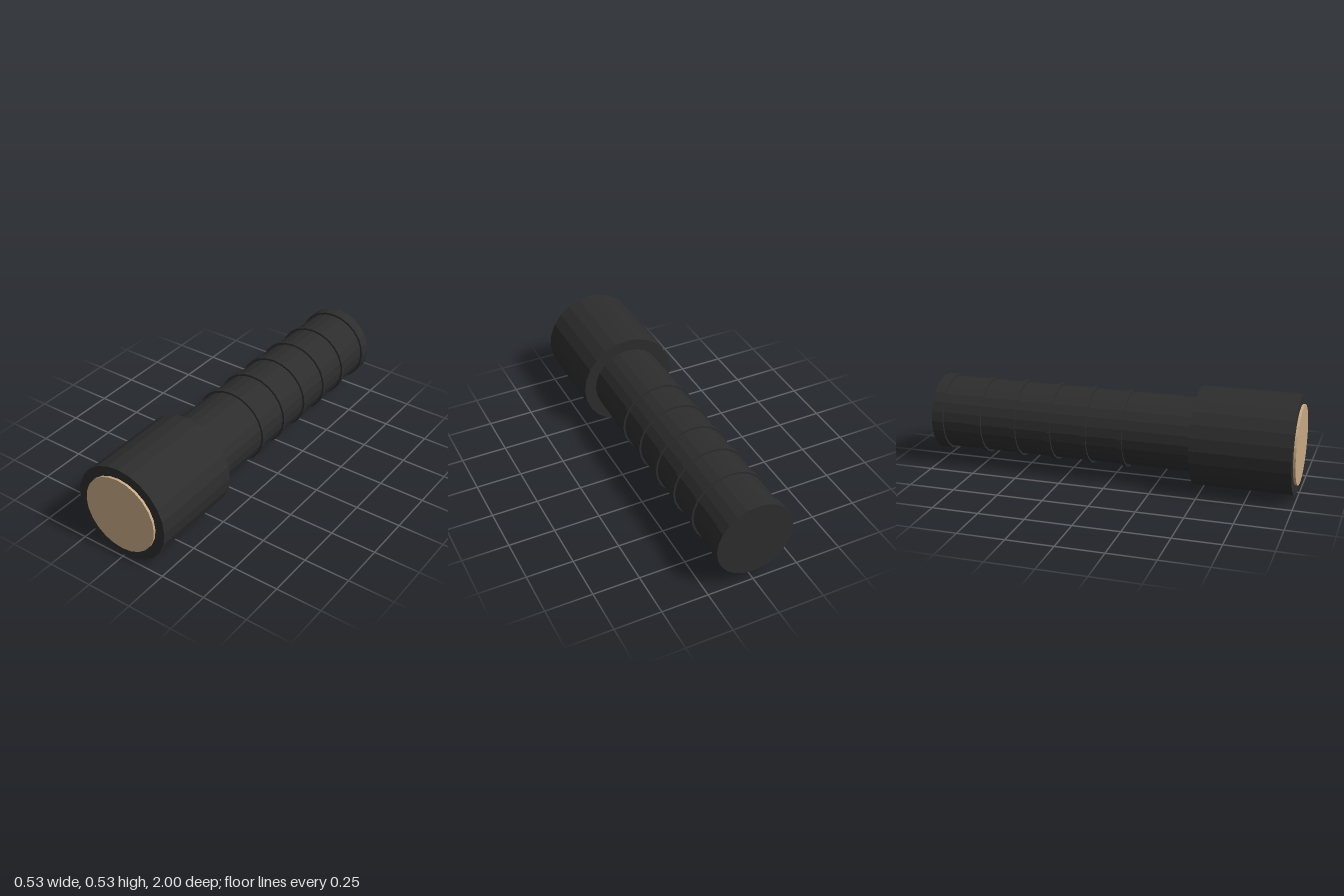
import * as THREE from 'three';

export function createModel() {
  const group = new THREE.Group();
  const axisY = 0.265;
  const black = new THREE.MeshStandardMaterial({ color: 0x2d2d2d, flatShading: true });
  black.name = 'black';
  const tan = new THREE.MeshStandardMaterial({ color: 0xc9aa85, flatShading: true });
  tan.name = 'tan';

  // 24-sided cylinder lying along z, from zBack to zFront
  function barrel(name, radius, zBack, zFront, material) {
    const geometry = new THREE.CylinderGeometry(radius, radius, zFront - zBack, 24);
    geometry.rotateX(Math.PI / 2);
    const mesh = new THREE.Mesh(geometry, material);
    mesh.name = name;
    mesh.position.set(0, axisY, (zFront + zBack) / 2);
    group.add(mesh);
  }

  barrel('head', 0.265, 0.46, 0.987, black);
  barrel('lens', 0.212, 0.96, 1.0, tan);
  barrel('handle', 0.199, -0.98, 0.48, black);
  barrel('tailCap', 0.21, -1.0, -0.935, black);

  // Raised grip rings, evenly spaced along the handle
  for (let i = 0; i < 5; i++) {
    const z = 0.075 - i * 0.2;
    barrel('gripRing' + (i + 1), 0.21, z - 0.012, z + 0.012, black);
  }
  return group;
}
